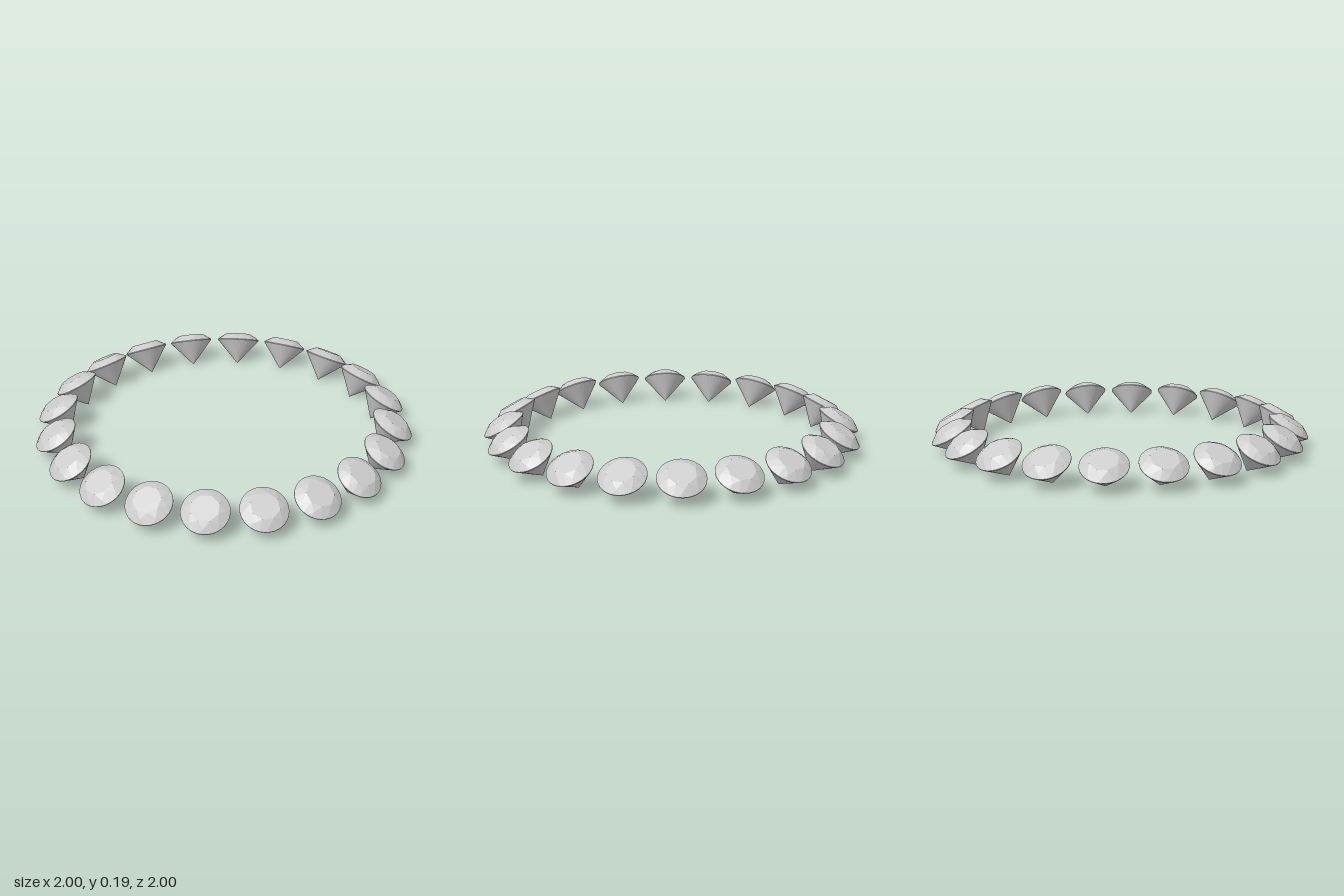
import * as THREE from 'three';

const GEMS = 20, RING_RADIUS = 0.896, TILT = Math.PI / 6;
const SIDES = 8, GIRDLE = 32;

// Point on a horizontal ring, angle given in turns
const ringPoint = (radius, y, turn) => new THREE.Vector3(
  radius * Math.sin(turn * 2 * Math.PI), y, radius * Math.cos(turn * 2 * Math.PI));

// Brilliant cut gem: table, star facets, kites, upper facets, girdle and pavilion
function gemGeometry() {
  const corners = [];
  const face = (...p) => {
    for (let i = 1; i < p.length - 1; i++) corners.push(p[0], p[i], p[i + 1]);
  };
  const table = i => ringPoint(0.072, 0.037, (i - 0.5) / SIDES);
  const star = i => ringPoint(0.1, 0.019, i / SIDES);
  const girdleTop = k => ringPoint(0.12, 0.002, k / GIRDLE);
  const girdleLow = k => ringPoint(0.12, -0.002, k / GIRDLE);
  const tip = new THREE.Vector3(0, -0.137, 0);
  const step = GIRDLE / SIDES;

  // Crown
  face(...Array.from({ length: SIDES }, (_, i) => table(i)));
  for (let i = 0; i < SIDES; i++) {
    const start = (i - 0.5) * step;
    face(table(i), star(i), table(i + 1));
    face(table(i), star(i - 1), girdleTop(start), star(i));
    for (let k = start; k < start + step; k++) face(star(i), girdleTop(k), girdleTop(k + 1));
  }
  // Girdle band and pointed pavilion
  for (let k = 0; k < GIRDLE; k++) {
    face(girdleTop(k), girdleLow(k), girdleLow(k + 1), girdleTop(k + 1));
    face(girdleLow(k), tip, girdleLow(k + 1));
  }
  const geometry = new THREE.BufferGeometry().setFromPoints(corners);
  geometry.computeVertexNormals();
  return geometry;
}

export function createModel() {
  const model = new THREE.Group();
  model.name = 'gemRing';
  const geometry = gemGeometry();
  const material = new THREE.MeshStandardMaterial({ color: 0xcccccc, flatShading: true });

  // Gems evenly spaced on a circle, each leaning outward
  for (let i = 0; i < GEMS; i++) {
    const turn = i / GEMS;
    const gem = new THREE.Mesh(geometry, material);
    gem.name = `gem${i + 1}`;
    gem.position.copy(ringPoint(RING_RADIUS, 0.137 * Math.cos(TILT), turn));
    gem.rotation.set(TILT, turn * 2 * Math.PI, 0, 'YXZ');
    model.add(gem);
  }
  return model;
}
